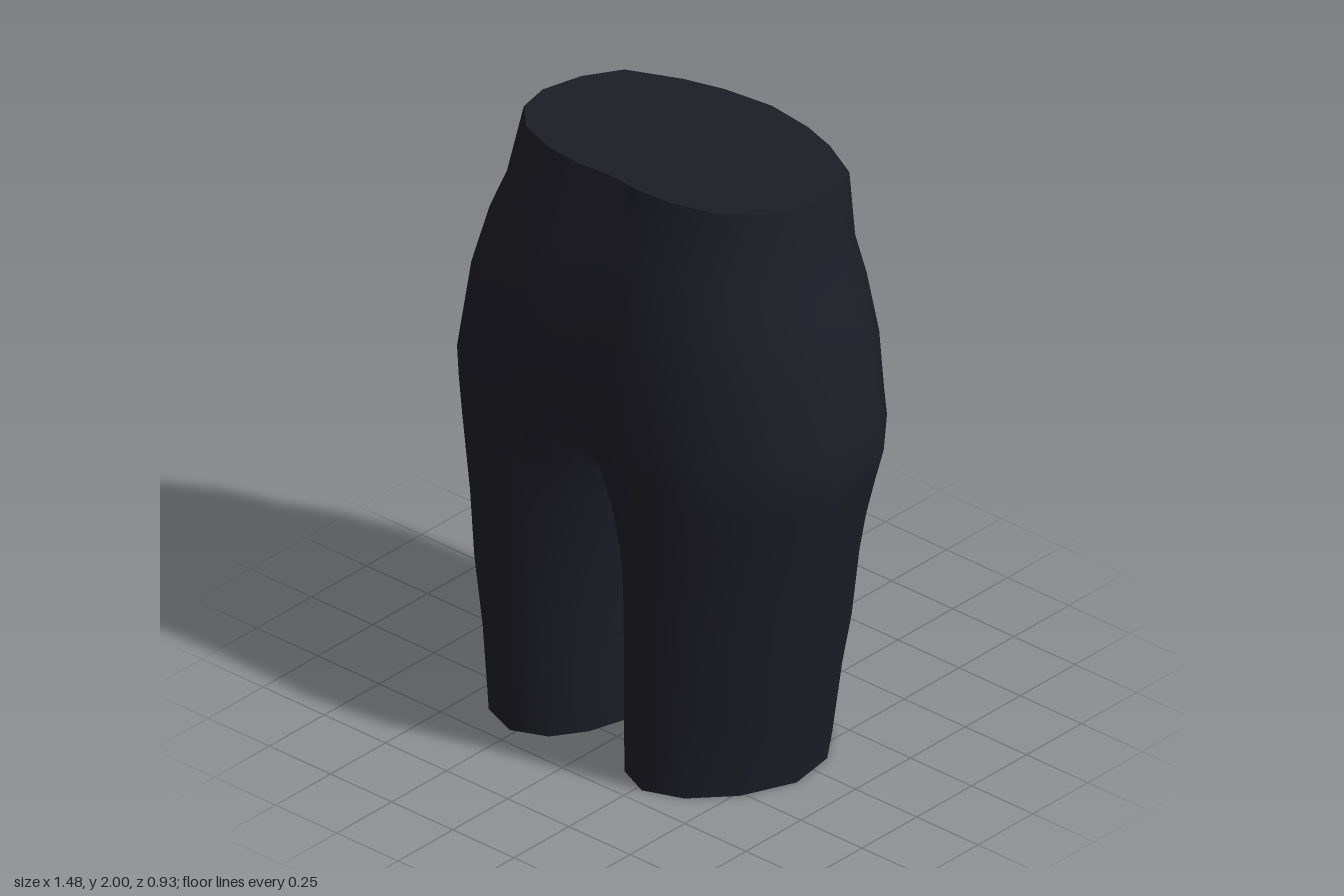
import * as THREE from 'three';
import { mergeVertices } from 'three/addons/utils/BufferGeometryUtils.js';

// Half sections [x, z], running front centre -> outer side -> back centre
const HIP = [[0, .44], [.16, .45], [.33, .465], [.51, .39], [.66, .245], [.74, .05],
  [.725, -.16], [.59, -.33], [.39, -.45], [.18, -.462], [0, -.465]];
const WAIST = [[0, .283], [.12, .295], [.25, .283], [.39, .23], [.49, .13], [.53, 0],
  [.515, -.16], [.46, -.295], [.3, -.385], [.17, -.43], [0, -.455]];
// Closed leg sections: the same eleven points plus three along the inner thigh
const HEM = [[.085, .285], [.155, .39], [.27, .44], [.4, .39], [.515, .265], [.59, .09], [.562, -.08],
  [.47, -.205], [.36, -.285], [.25, -.31], [.15, -.23], [.073, -.1], [.045, .03], [.05, .16]];
const CROTCH = [[0, .375], ...HIP.slice(1, 10), [0, -.4], [0, -.23], [0, 0], [0, .21]];
const HIP_Y = 1.12;
const CROTCH_Y = HEM.map((p, i) => ({ 0: 1.08, 10: 1.07, 11: 1, 12: .96, 13: 1.01 })[i] ?? HIP_Y);

// Silhouette per level: [y, inner x, outer x, front z, back z]
const LEG_LEVELS = [[0, .045, .59, .44, -.31], [.25, .035, .622, .442, -.342],
  [.42, .03, .655, .444, -.364], [.65, .025, .675, .447, -.39], [.9, .01, .71, .457, -.423],
  [1.02, .005, .727, .462, -.437], [1.12, 0, .74, .465, -.45]];
const TORSO_LEVELS = [[1.12, 0, .74, .465, -.45], [1.22, 0, .72, .462, -.456], [1.42, 0, .685, .445, -.464],
  [1.62, 0, .625, .4, -.455], [1.75, 0, .57, .36, -.447], [1.97, 0, .53, .295, -.455]];

const mix = THREE.MathUtils.lerp;

// Blend two sections, then fit the blend to the wanted silhouette
function section(from, to, t, [, inner, outer, front, back]) {
  const pts = from.map((p, i) => [mix(p[0], to[i][0], t), mix(p[1], to[i][1], t)]);
  const xs = pts.map(p => p[0]), zs = pts.map(p => p[1]);
  const minX = Math.min(...xs), maxX = Math.max(...xs);
  const minZ = Math.min(...zs), maxZ = Math.max(...zs);
  return pts.map(([x, z]) => [mix(inner, outer, (x - minX) / (maxX - minX)),
    z > 0 ? z * front / maxZ : z * back / minZ]);
}

// Legs stay round until just below the crotch
function legRing(level) {
  const t = level[0] / HIP_Y;
  return section(HEM, CROTCH, Math.pow(t, 5), level)
    .map(([x, z], i) => new THREE.Vector3(x, CROTCH_Y[i] * t, z));
}

// The waist edge slopes down towards the back
function torsoRing(level) {
  const s = (level[0] - HIP_Y) / (1.97 - HIP_Y);
  return section(HIP, WAIST, s, level).map(([x, z]) =>
    new THREE.Vector3(x, mix(HIP_Y, 2 - (.295 - z) * .107, s), z));
}

// Add a triangle and its mirror image
function addTriangle(out, a, b, c) {
  for (const p of [a, b, c]) out.push(p.x, p.y, p.z);
  for (const p of [a, c, b]) out.push(-p.x, p.y, p.z);
}

function loft(out, rings, closed) {
  for (let r = 0; r + 1 < rings.length; r++) {
    const low = rings[r], high = rings[r + 1], n = low.length;
    for (let i = 0; i < (closed ? n : n - 1); i++) {
      const j = (i + 1) % n;
      addTriangle(out, low[i], low[j], high[j]);
      addTriangle(out, low[i], high[j], high[i]);
    }
  }
}

function toGeometry(positions) {
  const raw = new THREE.BufferGeometry();
  raw.setAttribute('position', new THREE.Float32BufferAttribute(positions, 3));
  const geometry = mergeVertices(raw, 1e-4);
  geometry.computeVertexNormals();
  return geometry;
}

export function createModel() {
  const group = new THREE.Group();
  group.name = 'shorts';
  const fabric = new THREE.MeshStandardMaterial({ color: 0x1d1d27 });
  fabric.name = 'dark navy fabric';
  fabric.side = THREE.DoubleSide;

  // Legs and hips as one smooth shell, open at the hems
  const legs = LEG_LEVELS.map(legRing);
  const torso = TORSO_LEVELS.map(torsoRing);
  torso[0] = legs[legs.length - 1].slice(0, 11);
  const shell = [];
  loft(shell, legs, true);
  loft(shell, torso, false);
  const body = new THREE.Mesh(toGeometry(shell), fabric);
  body.name = 'legsAndHips';

  // Flat sloping lid across the waist
  const rim = torso[torso.length - 1];
  const centre = new THREE.Vector3(0, 2 - .375 * .107, -.08);
  const lid = [];
  for (let i = 0; i + 1 < rim.length; i++) addTriangle(lid, centre, rim[i], rim[i + 1]);
  const waist = new THREE.Mesh(toGeometry(lid), fabric);
  waist.name = 'waistCap';

  group.add(body, waist);
  return group;
}
